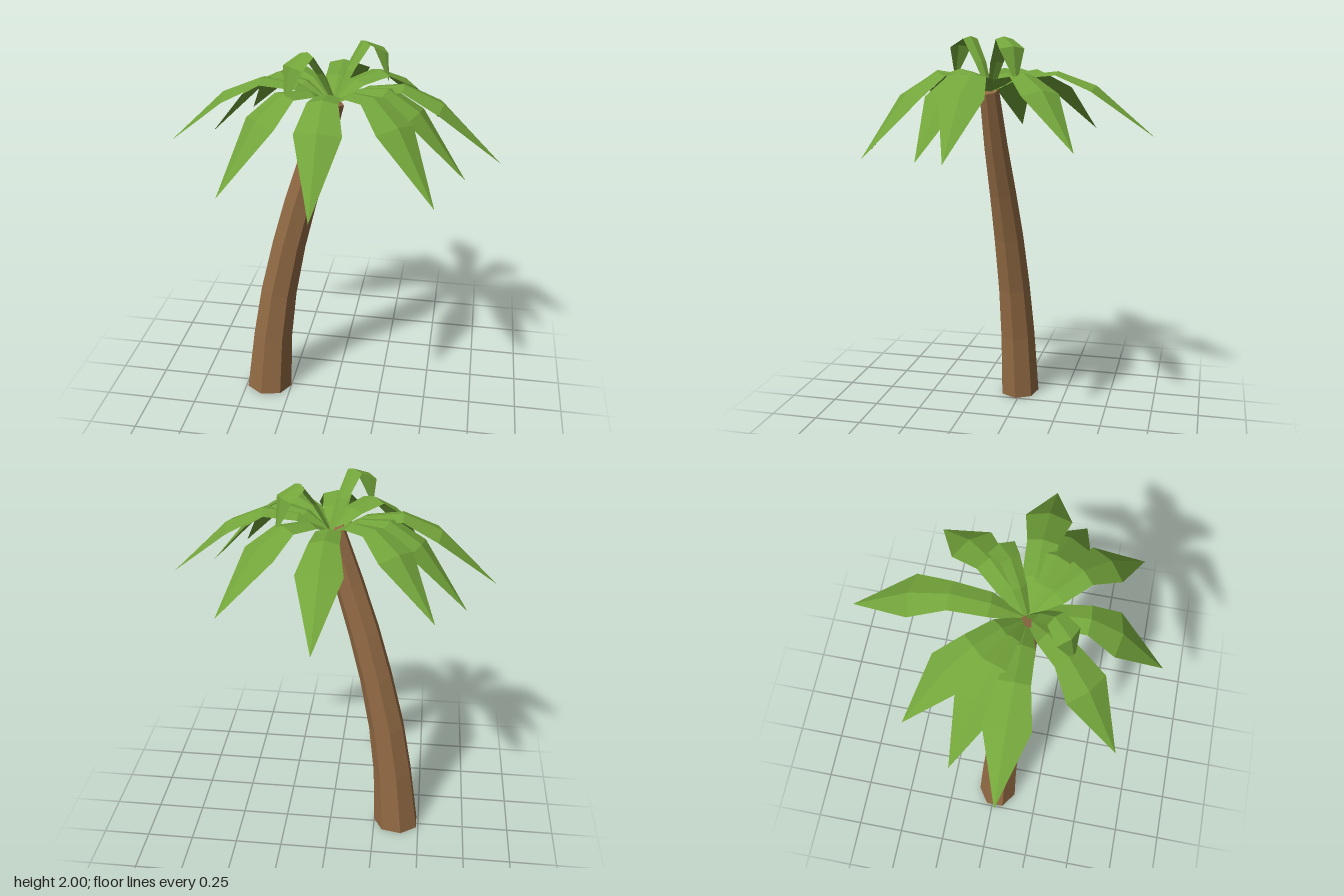
import * as THREE from 'three';

const bark = new THREE.MeshStandardMaterial({ color: 0x946c45, flatShading: true });
bark.name = 'bark brown';
const leaf = new THREE.MeshStandardMaterial({ color: 0x73a53b, flatShading: true, side: THREE.DoubleSide });
leaf.name = 'leaf green';

const V = (x, y, z) => new THREE.Vector3(x, y, z);

// Joins cross-section rings into an indexed geometry; closed rings wrap round.
function loft(rings, closed) {
  const n = rings[0].length, index = [];
  const points = rings.flat();
  for (let i = 0; i < rings.length - 1; i++) {
    for (let j = 0; j < (closed ? n : n - 1); j++) {
      const a = i * n + j, b = i * n + (j + 1) % n;
      index.push(a, b, a + n);
      if (points[b + n].distanceTo(points[a + n]) > 1e-5) index.push(b, b + n, a + n);
    }
  }
  if (closed) {
    const last = (rings.length - 1) * n;
    for (let j = 1; j < n - 1; j++) {
      index.push(0, j + 1, j);
      index.push(last, last + j, last + j + 1);
    }
  }
  const indexed = new THREE.BufferGeometry().setFromPoints(points);
  indexed.setIndex(index);
  const geo = indexed.toNonIndexed();
  geo.computeVertexNormals();
  return geo;
}

// Curved, tapering seven-sided trunk: centre x, y, z, radius in x, radius in z, tilt
function trunk() {
  const sections = [
    [-0.376, 0, 0.015, 0.126, 0.108, 0],
    [-0.342, 0.36, 0.023, 0.106, 0.097, 0.13],
    [-0.298, 0.65, 0.034, 0.096, 0.088, 0.2],
    [-0.232, 0.95, 0.05, 0.087, 0.08, 0.26],
    [-0.165, 1.2, 0.066, 0.082, 0.07, 0.3],
    [-0.085, 1.46, 0.083, 0.075, 0.06, 0.33],
    [0.0, 1.74, 0.095, 0.06, 0.05, 0.33],
  ];
  const rings = sections.map(([x, y, z, rx, rz, tilt]) =>
    Array.from({ length: 7 }, (_, j) => {
      const a = -j / 7 * Math.PI * 2;
      const u = rx * Math.cos(a);
      return V(x + u * Math.cos(tilt), y - u * Math.sin(tilt), z + rz * Math.sin(a));
    }));
  return new THREE.Mesh(loft(rings, true), bark);
}

// Leaf strip with a raised midrib, widening along its spine and closing in a point
function frond(spine, widths, fold) {
  const end = spine[spine.length - 1], start = spine[0];
  const side = V(end.x - start.x, 0, end.z - start.z).normalize().cross(V(0, 1, 0));
  const rings = spine.map((p, i) => {
    const before = spine[Math.max(i - 1, 0)], after = spine[Math.min(i + 1, spine.length - 1)];
    const normal = side.clone().cross(after.clone().sub(before).normalize());
    const edge = s => p.clone().addScaledVector(side, s * widths[i]).addScaledVector(normal, -fold * widths[i]);
    return [edge(-1), p.clone(), edge(1)];
  });
  return new THREE.Mesh(loft(rings, false), leaf);
}

export function createModel() {
  const model = new THREE.Group();
  model.name = 'palmTree';
  const stem = trunk();
  stem.name = 'trunk';
  model.add(stem);

  const crown = new THREE.Group();
  crown.name = 'crown';
  model.add(crown);

  // Drooping fronds, given by tip x, y, z
  const tips = [
    [0.005, 1.525, -0.73], [0.48, 1.5, -0.41], [0.795, 1.48, 0.095], [0.64, 1.46, 0.27],
    [0.52, 1.45, 0.57], [0.005, 1.42, 0.73], [-0.44, 1.43, 0.575], [-0.8, 1.49, 0.095],
    [-0.655, 1.46, -0.14], [-0.505, 1.51, -0.38],
  ];
  const steps = [0, 0.2, 0.42, 0.65, 1];
  tips.forEach(([x, y, z], i) => {
    const heights = [1.73, 1.815, 1.835, 1.755 + (y - 1.48) * 0.3, y];
    const spine = steps.map((t, k) => V(x * t, heights[k], 0.09 + (z - 0.09) * t));
    const f = frond(spine, [0.015, 0.06, 0.07, 0.107, 0], 0.25);
    f.name = 'droopingFrond' + (i + 1);
    crown.add(f);
  });

  // Two young upright fronds curling over, opposite each other
  const young = [[0, 1.74], [0.07, 1.88], [0.16, 2.0], [0.265, 1.955], [0.3, 1.78]];
  [[-0.62, 0.78], [0.78, -0.62]].forEach(([dx, dz], i) => {
    const spine = young.map(([r, y]) => V(0.01 + dx * r, y, 0.085 + dz * r));
    const f = frond(spine, [0.015, 0.035, 0.045, 0.065, 0], 0.3);
    f.name = 'uprightFrond' + (i + 1);
    crown.add(f);
  });

  return model;
}
